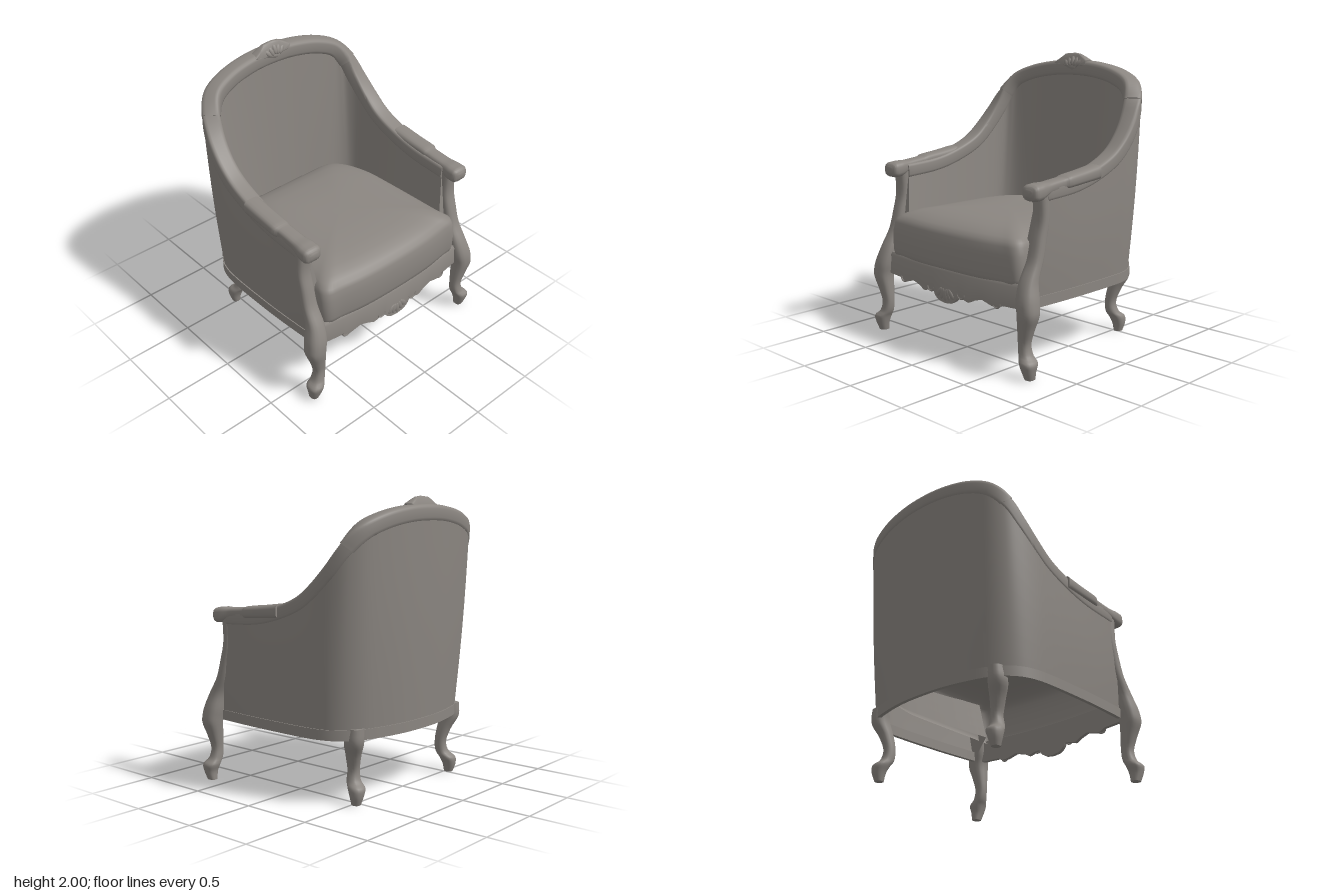
import * as THREE from 'three';
import { toCreasedNormals } from 'three/addons/utils/BufferGeometryUtils.js';

const V = (x, y, z) => new THREE.Vector3(x, y, z);
const UP = V(0, 1, 0);

// Skin a row of rings, with fan caps on the first and last ring.
function loft(rings, { crease = 0.7, capFirst = true, closed = true } = {}) {
  const n = rings[0].length, pos = [], idx = [];
  rings.forEach(r => r.forEach(p => pos.push(p.x, p.y, p.z)));
  for (let i = 0; i < rings.length - 1; i++) {
    for (let j = 0; j < (closed ? n : n - 1); j++) {
      const a = i * n + j, b = i * n + (j + 1) % n;
      idx.push(a, b, a + n, b, b + n, a + n);
    }
  }
  const cap = (k, end) => {
    const c = rings[k].reduce((s, p) => s.add(p), V(0, 0, 0)).divideScalar(n);
    const ci = pos.length / 3;
    pos.push(c.x, c.y, c.z);
    for (let j = 0; j < n; j++) {
      const a = k * n + j, b = k * n + (j + 1) % n;
      end ? idx.push(ci, a, b) : idx.push(ci, b, a);
    }
  };
  if (capFirst) cap(0, false);
  cap(rings.length - 1, true);
  const g = new THREE.BufferGeometry();
  g.setAttribute('position', new THREE.Float32BufferAttribute(pos, 3));
  g.setIndex(idx);
  return toCreasedNormals(g, crease);
}

// Superellipse ring spanned by two axes.
function ring(c, ax, ay, rx, ry, power) {
  const n = 16, e = t => Math.sign(t) * Math.abs(t) ** power;
  return Array.from({ length: n }, (_, i) => {
    const a = (i + 0.5) / n * Math.PI * 2;
    return c.clone().addScaledVector(ax, rx * e(Math.cos(a))).addScaledVector(ay, ry * e(Math.sin(a)));
  });
}

const mirrored = half => new THREE.CatmullRomCurve3(
  [...half, ...half.slice(0, -1).reverse().map(([x, y, z]) => [-x, y, z])].map(p => V(...p)));

// Smooth a list of number rows by sampling a spline through each column.
function smoothRows(rows, count) {
  const pts = new THREE.CatmullRomCurve3(rows.map(r => V(r[0], r[1], r[2])));
  const rad = new THREE.CatmullRomCurve3(rows.map(r => V(r[3], r[4], 0)));
  return Array.from({ length: count + 1 }, (_, i) => [pts.getPoint(i / count), rad.getPoint(i / count)]);
}

export function createModel() {
  const group = new THREE.Group();
  const mat = new THREE.MeshStandardMaterial({ color: 0x8b8681, side: THREE.DoubleSide });
  mat.name = 'warm grey';
  const add = (name, geo) => {
    const m = new THREE.Mesh(geo, mat);
    m.name = name;
    group.add(m);
    return m;
  };

  // Top rail and base paths, matching station by station
  const rail = mirrored([[.675, 1.17, .48], [.677, 1.19, .2], [.677, 1.235, 0], [.675, 1.32, -.21],
    [.67, 1.42, -.335], [.65, 1.55, -.445], [.61, 1.69, -.53], [.54, 1.78, -.585],
    [.4, 1.84, -.622], [.2, 1.878, -.645], [0, 1.888, -.652]]);
  const base = mirrored([[.69, .44, .56], [.708, .44, .25], [.712, .44, 0], [.71, .44, -.2],
    [.70, .44, -.32], [.67, .44, -.42], [.61, .44, -.50], [.52, .44, -.56],
    [.4, .44, -.60], [.2, .44, -.64], [0, .44, -.65]]);
  const frame = (curve, t) => {
    const p = curve.getPoint(t);
    const d = curve.getPoint(Math.min(1, t + .004)).sub(curve.getPoint(Math.max(0, t - .004))).normalize();
    const n = d.clone().cross(UP).normalize();
    return { p, n, b: n.clone().cross(d).normalize() };
  };
  const along = (t0, t1, count, fn) =>
    Array.from({ length: count + 1 }, (_, i) => fn(t0 + (t1 - t0) * i / count));

  // Upholstered wraparound shell, open underneath
  const rows = 8;
  add('upholsteredShell', loft(along(0, 1, 90, t => {
    const r = frame(rail, t), f = frame(base, t);
    const top = s => r.p.clone().addScaledVector(r.n, s).addScaledVector(r.b, -.035);
    const outTop = top(.056), inTop = top(-.052);
    const inBase = f.p.clone().addScaledVector(f.n, -.14).setY(.6);
    const pts = [];
    for (let k = 0; k <= rows; k++) {
      pts.push(f.p.clone().lerp(outTop, k / rows).addScaledVector(f.n, .01 * Math.sin(Math.PI * k / rows)));
    }
    for (let k = 0; k <= rows; k++) pts.push(inTop.clone().lerp(inBase, k / rows));
    return pts;
  }), { closed: false }));

  // Wooden rails: two sloping side rails and a heavier crest
  const railRing = (w, h, power) => t => {
    const { p, n, b } = frame(rail, t);
    return ring(p, n, b, w, h, power);
  };
  add('leftSideRail', loft(along(0, .3, 36, railRing(.062, .05, .35))));
  add('rightSideRail', loft(along(.7, 1, 36, railRing(.062, .05, .35))));
  add('crestRail', loft(along(.295, .705, 48, railRing(.064, .058, .45))));

  // Base rail around sides and back
  add('baseRail', loft(along(0, 1, 80, t => {
    const { p, n } = frame(base, t);
    return [[.012, 0], [.012, .07], [-.015, .07], [-.015, 0]]
      .map(([s, y]) => p.clone().addScaledVector(n, s).setY(.44 + y));
  })));

  // Seat cushion, hollow below: plan outline stacked in shrinking layers
  const plan = [[0, .70], [.3, .69], [.5, .665], [.6, .65], [.632, .61], [.622, .5], [.605, 0],
    [.585, -.25], [.51, -.45], [.42, -.525], [.2, -.535], [0, -.535]];
  const outline = new THREE.CatmullRomCurve3(
    [...plan, ...plan.slice(1, -1).reverse().map(([x, z]) => [-x, z])].map(([x, z]) => V(x, 0, z)),
    true, 'centripetal').getPoints(88).slice(0, -1);
  const layers = [[.97, .58], [.987, .59], [.995, .62], [1, .7], [.995, .77], [.98, .825], [.96, .855],
    [.91, .878], [.85, .898], [.75, .918], [.6, .933], [.3, .943]];
  add('seatCushion', loft(
    layers.map(([s, y]) => outline.map(p => V(p.x * s, y, .08 + (p.z - .08) * s))),
    { crease: 1, capFirst: false }));

  // Scalloped front apron
  const edge = [[0, .36], [.06, .367], [.1, .39], [.12, .425], [.17, .42], [.22, .405], [.27, .43],
    [.34, .45], [.42, .425], [.47, .42], [.5, .44], [.7, .44]];
  const lower = x => {
    const i = edge.findIndex(e => e[0] > x), [a, b] = [edge[i - 1], edge[i]];
    return a[1] + (b[1] - a[1]) * (x - a[0]) / (b[0] - a[0]);
  };
  const bow = x => .70 - .13 * x * x;
  add('frontApron', loft(along(-.66, .66, 88, x => {
    const y = lower(Math.abs(x)), z = bow(x);
    return [V(x, .6, z - .012), V(x, .58, z), V(x, y, z), V(x, y, z - .03), V(x, .6, z - .03)];
  })));

  // Carved fan and scrolls on the apron
  for (let i = -2; i <= 2; i++) {
    const m = add('apronFan', new THREE.SphereGeometry(1, 12, 8));
    m.scale.set(.02, .042, .01);
    m.position.set(i * .028, .415 + Math.abs(i) * .008, .697);
    m.rotation.z = i * .35;
  }
  for (const x of [-.46, -.15, .15, .46]) {
    const m = add('apronScroll', new THREE.TorusGeometry(.032, .007, 6, 14, Math.PI));
    m.position.set(x, .45, bow(x) - .003);
    m.rotation.z = Math.PI;
  }

  // Carved crest ornament, thinning toward its top
  const crest = new THREE.Shape([[-.17, 1.925], [-.12, 1.955], [-.08, 1.985], [-.03, 1.99], [0, 1.992],
    [.05, 1.985], [.09, 1.965], [.125, 1.945], [.125, 1.915], [.06, 1.91], [.03, 1.89], [0, 1.88],
    [-.04, 1.895], [-.08, 1.91], [-.13, 1.905]].map(([x, y]) => new THREE.Vector2(x, y)));
  const crestGeo = new THREE.ExtrudeGeometry(crest,
    { depth: .05, bevelSize: .008, bevelThickness: .014, bevelSegments: 2 });
  const cp = crestGeo.attributes.position;
  for (let i = 0; i < cp.count; i++) {
    const thin = 1 - .75 * THREE.MathUtils.clamp((cp.getY(i) - 1.94) / .06, 0, 1);
    cp.setZ(i, -.625 + (cp.getZ(i) - .025) * thin);
  }
  add('crestOrnament', toCreasedNormals(crestGeo, .7));
  for (let i = -2; i <= 2; i++) {
    const m = add('crestFan', new THREE.SphereGeometry(1, 12, 8));
    m.scale.set(.018, .036, .012);
    m.position.set(i * .03, 1.945 - Math.abs(i) * .008, -.595);
    m.rotation.set(-.4, 0, -i * .35);
  }

  // Legs and arms: rows of x, y, z, half width, half depth
  const frontLeg = [[.68, 1.17, .49, .055, .045], [.682, 1, .488, .053, .04], [.683, .88, .515, .053, .042],
    [.687, .75, .55, .054, .044], [.692, .62, .613, .062, .055], [.71, .5, .64, .073, .07],
    [.72, .42, .648, .07, .066], [.70, .32, .645, .054, .05], [.685, .22, .642, .042, .038],
    [.70, .15, .645, .045, .045], [.73, .11, .655, .055, .058], [.735, .06, .657, .045, .045],
    [.735, 0, .645, .03, .034]];
  const backLeg = [[.54, .515, -.525, .055, .055], [.545, .42, -.515, .058, .064], [.515, .32, -.485, .045, .05],
    [.495, .22, -.47, .037, .04], [.505, .15, -.48, .045, .045], [.52, .11, -.515, .055, .055],
    [.53, .06, -.525, .045, .045], [.53, 0, -.52, .028, .03]];
  const arm = [[.69, 1.252, -.02, .064, .05], [.69, 1.235, .14, .064, .045], [.69, 1.222, .28, .064, .042],
    [.685, 1.216, .315, .054, .038], [.683, 1.202, .45, .056, .039], [.682, 1.188, .53, .068, .054],
    [.682, 1.184, .575, .069, .054], [.682, 1.184, .6, .058, .042], [.682, 1.184, .612, .03, .02]];
  const X = V(1, 0, 0), Z = V(0, 0, 1);
  for (const [side, s] of [['left', 1], ['right', -1]]) {
    const build = (name, data, count, axis, power) => add(side + name, loft(
      smoothRows(data, count).map(([p, r]) => ring(V(p.x * s, p.y, p.z), X, axis, r.x, r.y, power))));
    build('FrontLegAndPost', frontLeg, 48, Z, .75);
    build('BackLeg', backLeg, 30, Z, .8);
    build('Armrest', arm, 40, UP, .6);
  }
  return group;
}
